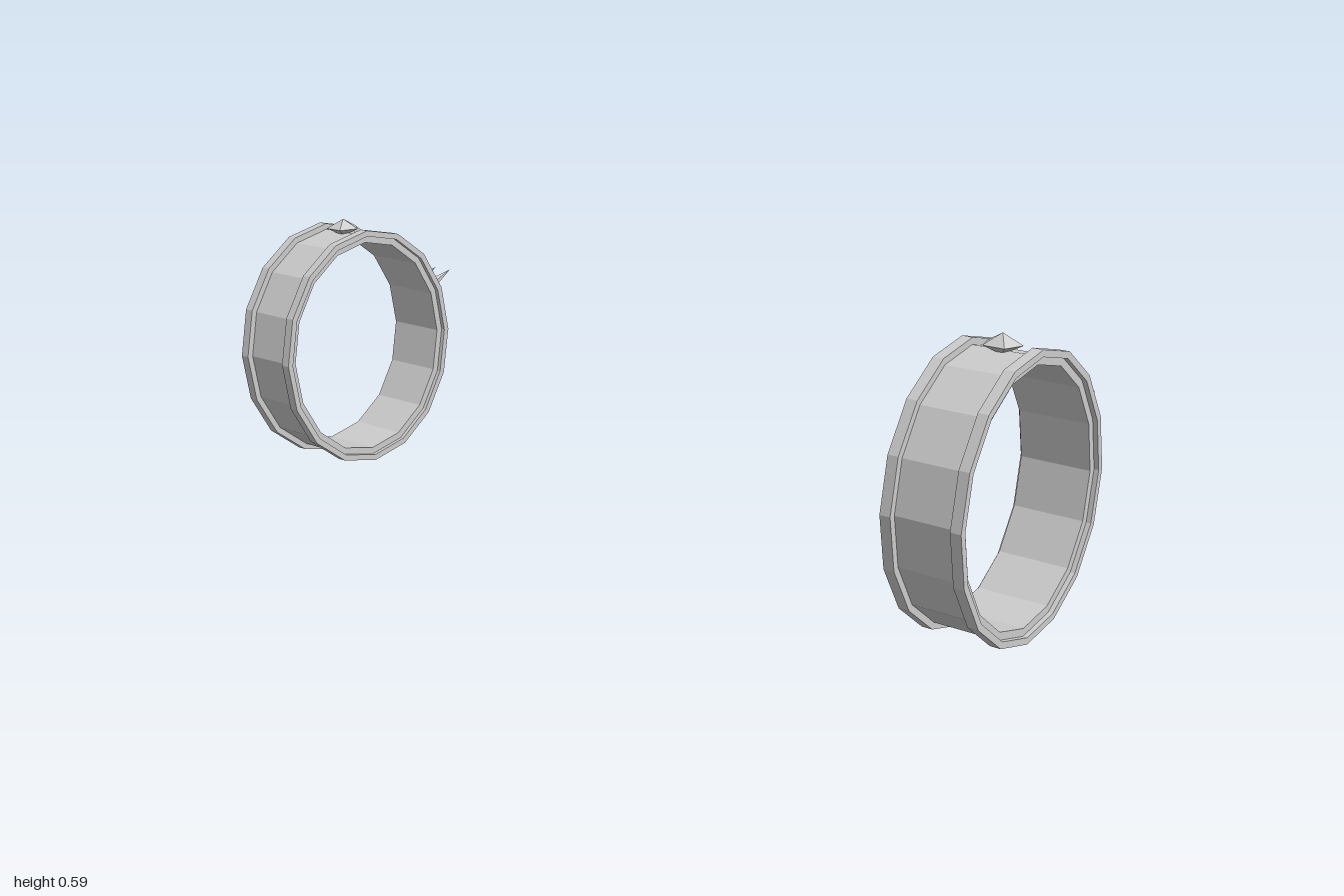
import * as THREE from 'three';

const CENTER_Y = 0.291, CENTER_Z = 0.035, RING_X = 0.914;
const mat = new THREE.MeshStandardMaterial({ color: 0xcccccc, flatShading: true });

function part(name, geometry) {
  const mesh = new THREE.Mesh(geometry, mat);
  mesh.name = name;
  return mesh;
}

// Sixteen-sided hoop around x from a closed (radius, x) profile, narrowed along z
function hoop(profile) {
  const g = new THREE.LatheGeometry(profile.map(p => new THREE.Vector2(...p)), 16);
  g.rotateZ(Math.PI / 2);
  const pos = g.attributes.position;
  for (let i = 0; i < pos.count; i++) {
    const y = pos.getY(i), z = pos.getZ(i);
    pos.setZ(i, z - 0.028 * z / Math.hypot(y, z));
  }
  g.computeVertexNormals();
  return g;
}

// Tapered spike from a base point to its tip
function spike(base, tip, radius) {
  const dir = tip.clone().sub(base);
  const g = new THREE.ConeGeometry(radius, dir.length(), 6);
  const mesh = part('backSpike', g);
  mesh.position.copy(base).addScaledVector(dir, 0.5);
  mesh.quaternion.setFromUnitVectors(new THREE.Vector3(0, 1, 0), dir.normalize());
  return mesh;
}

function bracelet(name) {
  const group = new THREE.Group();
  group.name = name;

  // Band with raised rims standing a little proud of both ends
  const inner = 0.258, mid = 0.274, outer = 0.288;
  const end = 0.086, lip = 0.063, recess = 0.076;
  group.add(part('band', hoop([
    [inner, -recess], [mid, -recess], [mid, -end], [outer, -end], [outer, -lip], [mid, -lip],
    [mid, lip], [outer, lip], [outer, end], [mid, end], [mid, recess], [inner, recess],
    [inner, -recess],
  ])));

  // Faceted stud on top
  const studProfile = [[0, -0.02], [0.04, 0], [0, 0.022]].map(p => new THREE.Vector2(...p));
  const stud = part('topStud', new THREE.LatheGeometry(studProfile, 5));
  stud.position.set(0, 0.285, 0);
  stud.rotation.y = Math.PI;
  group.add(stud);

  // Pair of spikes on the back
  for (const x of [-0.026, 0.026]) {
    group.add(spike(new THREE.Vector3(x, 0.096, -0.235), new THREE.Vector3(x, 0.134, -0.328), 0.02));
  }
  return group;
}

export function createModel() {
  const model = new THREE.Group();
  model.name = 'bracelets';
  for (const [name, side] of [['leftBracelet', 1], ['rightBracelet', -1]]) {
    const ring = bracelet(name);
    ring.position.set(side * RING_X, CENTER_Y, CENTER_Z);
    model.add(ring);
  }
  return model;
}
